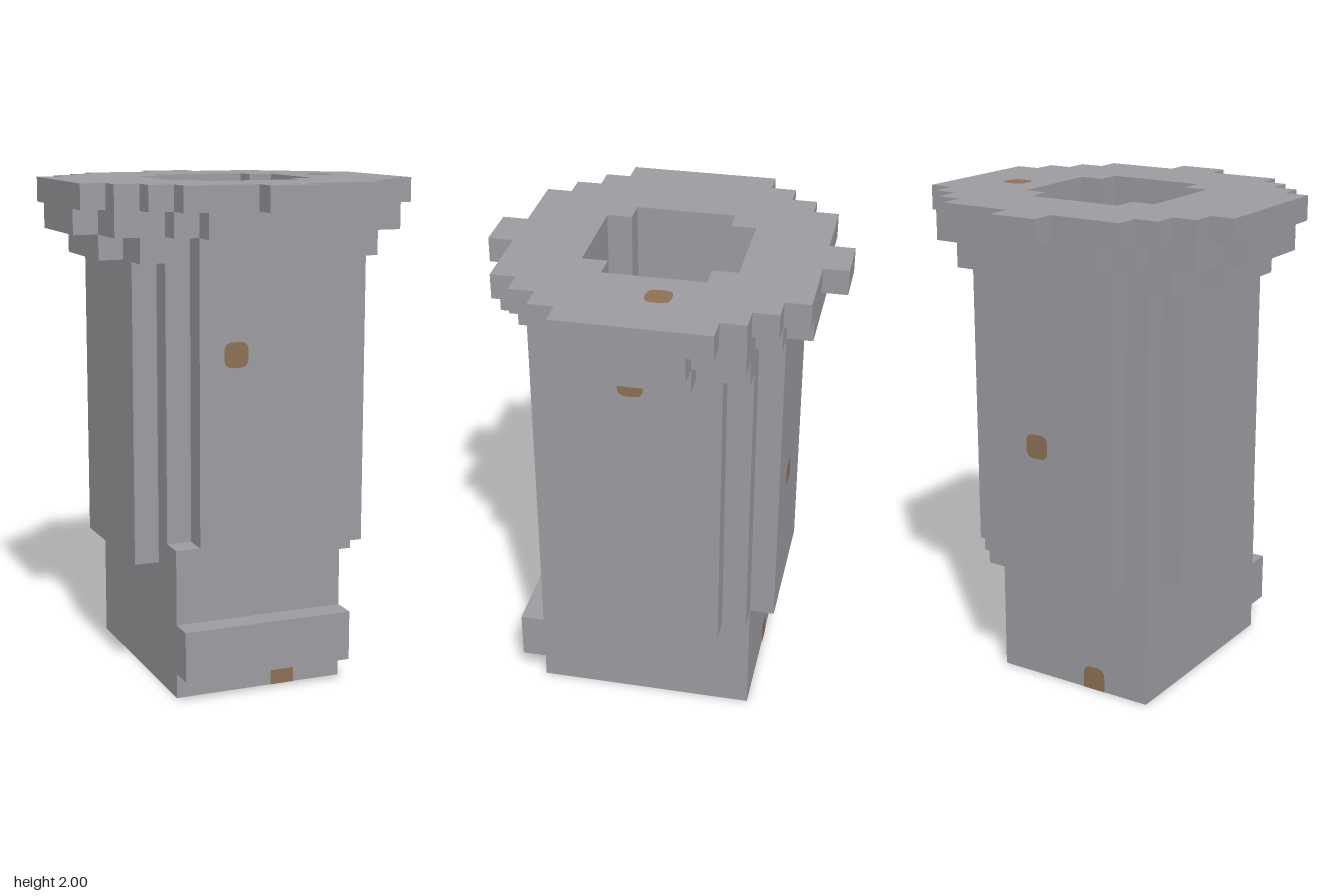
import * as THREE from 'three';

// Points of a stepped outline, mirrored from the corners of one quadrant
function steppedPoints(corners) {
  const q = [];
  corners.forEach(([x, z], i) => {
    q.push([x, z]);
    if (i < corners.length - 1) q.push([x, corners[i + 1][1]]);
  });
  const mirror = (sx, sz) => q.map(([x, z]) => new THREE.Vector2(x * sx, z * sz));
  return [...mirror(1, 1), ...mirror(1, -1).reverse(), ...mirror(-1, -1), ...mirror(-1, 1).reverse()];
}

// Square for a painted spot, with its own rounding at the top (t) and bottom (b)
function spotShape(t, b) {
  const s = 0.05;
  const shape = new THREE.Shape();
  shape.moveTo(-s + b, -s);
  shape.lineTo(s - b, -s).quadraticCurveTo(s, -s, s, -s + b);
  shape.lineTo(s, s - t).quadraticCurveTo(s, s, s - t, s);
  shape.lineTo(-s + t, s).quadraticCurveTo(-s, s, -s, s - t);
  shape.lineTo(-s, -s + b).quadraticCurveTo(-s, -s, -s + b, -s);
  return shape;
}

export function createModel() {
  const model = new THREE.Group();
  model.name = 'tower';
  const stone = new THREE.MeshStandardMaterial({ color: 0x9c9ba0 });
  stone.name = 'grey stone';
  const brown = new THREE.MeshStandardMaterial({ color: 0x8d7154 });
  brown.name = 'brown spot';

  const add = (name, geometry, material, x = 0, y = 0, z = 0) => {
    const mesh = new THREE.Mesh(geometry, material);
    mesh.name = name;
    mesh.position.set(x, y, z);
    model.add(mesh);
    return mesh;
  };
  const block = (name, [x0, x1], [y0, y1], [z0, z1]) =>
    add(name, new THREE.BoxGeometry(x1 - x0, y1 - y0, z1 - z0), stone,
      (x0 + x1) / 2, (y0 + y1) / 2, (z0 + z1) / 2);

  // Base block, front ledge and the small corner step
  block('base', [-0.4, 0.3], [0, 0.5], [-0.4, 0.5]);
  block('frontLedge', [-0.4, 0.3], [0.1, 0.3], [0.5, 0.6]);
  block('cornerStep', [-0.4, -0.3], [0.5, 0.6], [0.4, 0.5]);

  // Hollow shaft and the three widening layers of the crown;
  // the well runs against the outline so that its walls face inwards
  const well = steppedPoints([[0.2, 0.3], [0.3, 0.2]]).reverse();
  const layers = [
    ['shaft', 0.5, 1.2, [[0.3, 0.5], [0.4, 0.4], [0.5, 0.3]]],
    ['lowerCrown', 1.7, 0.1, [[0.3, 0.5], [0.5, 0.4], [0.6, 0.2]]],
    ['middleCrown', 1.8, 0.1, [[0.3, 0.6], [0.4, 0.5], [0.6, 0.4], [0.7, 0.2]]],
    ['topCrown', 1.9, 0.1, [[0.1, 0.7], [0.4, 0.6], [0.5, 0.5], [0.6, 0.4], [0.7, 0.3]]],
  ];
  for (const [name, y, depth, corners] of layers) {
    const shape = new THREE.Shape(steppedPoints(corners));
    shape.holes.push(new THREE.Path(well));
    const geometry = new THREE.ExtrudeGeometry(shape, { depth, bevelEnabled: false });
    geometry.rotateX(-Math.PI / 2);
    add(name, geometry, stone, 0, y, 0);
  }

  // Painted spots: position, the turn that faces each one outwards, top and bottom rounding
  const h = Math.PI / 2, e = 0.002, r = 0.035;
  const spots = [
    ['frontSpot', -0.15, 1.35, 0.5 + e, 0, 0, r, r],
    ['sideSpot', 0.5 + e, 1.65, 0.05, 0, h, 0, r],
    ['backSpot', 0.05, 1.05, -0.5 - e, 0, Math.PI, r, r],
    ['topSpot', 0.45, 2 + e, -0.05, -h, 0, r, r],
    ['bottomSpot', -0.05, -e, -0.25, h, 0, r, r],
    ['bottomFrontSpot', 0.05, -e, 0.45, h, 0, r, r],
    ['bottomBackSpot', -0.15, -e, -0.35, h, 0, r, r],
    ['baseBackSpot', -0.15, 0.05, -0.4 - e, 0, Math.PI, r, 0],
    ['baseFrontSpot', 0.05, 0.05, 0.5 + e, 0, 0, 0, 0],
  ];
  for (const [name, x, y, z, rx, ry, top, bottom] of spots) {
    const geometry = new THREE.ShapeGeometry(spotShape(top, bottom), 4);
    add(name, geometry, brown, x, y, z).rotation.set(rx, ry, 0);
  }

  return model;
}
